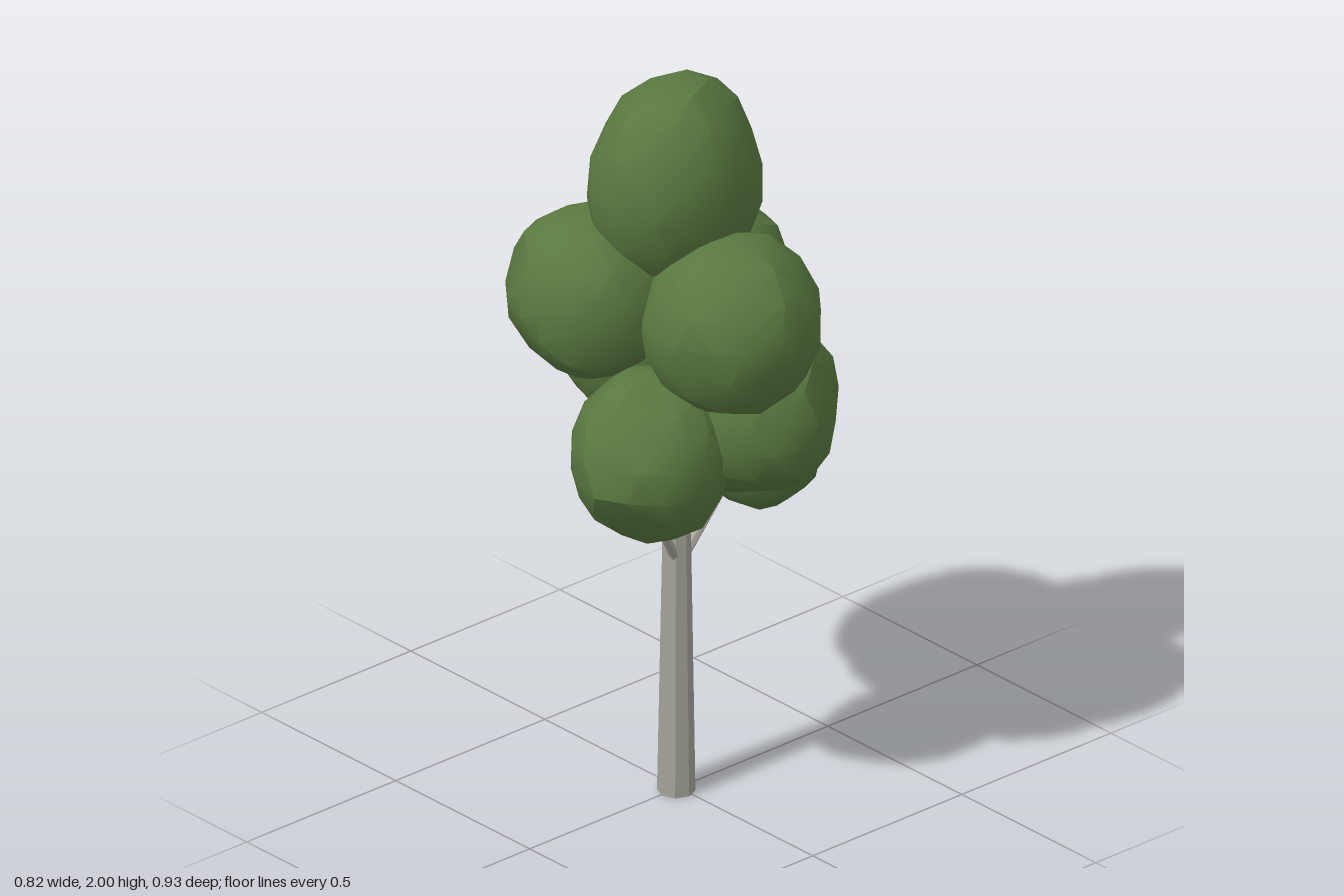
import * as THREE from 'three';
import { toCreasedNormals } from 'three/addons/utils/BufferGeometryUtils.js';

const leafGreen = new THREE.MeshStandardMaterial({ color: 0x5a7840 });
const barkGrey = new THREE.MeshStandardMaterial({ color: 0xa5a39a });
leafGreen.name = 'leafGreen';
barkGrey.name = 'barkGrey';

// Rounded leaf clump: a coarse ball with flat facets pressed into it
function clump(name, centre, radii, cuts, turn) {
  const geo = new THREE.IcosahedronGeometry(1, 2);
  geo.rotateX(turn).rotateY(turn * 1.7);
  const pos = geo.attributes.position;
  const p = new THREE.Vector3();
  const planes = cuts.map(([x, y, z, d]) => ({ n: new THREE.Vector3(x, y, z).normalize(), d }));
  for (let i = 0; i < pos.count; i++) {
    p.fromBufferAttribute(pos, i);
    // gentle unevenness, the same for coincident corners
    p.multiplyScalar(1 + 0.03 * Math.sin(p.x * 5 + turn * 9) * Math.cos(p.y * 4 + p.z * 5));
    for (const { n, d } of planes) {
      const over = p.dot(n) - d;
      if (over > 0) p.addScaledVector(n, -over);
    }
    pos.setXYZ(i, p.x, p.y, p.z);
  }
  geo.scale(...radii);
  const mesh = new THREE.Mesh(toCreasedNormals(geo, 0.5), leafGreen);
  mesh.name = name;
  mesh.position.set(...centre);
  return mesh;
}

// Tapered straight limb between two points
function limb(name, from, to, r0, r1, sides) {
  const a = new THREE.Vector3(...from), b = new THREE.Vector3(...to);
  const dir = b.clone().sub(a);
  const geo = new THREE.CylinderGeometry(r1, r0, dir.length(), sides);
  const mesh = new THREE.Mesh(toCreasedNormals(geo, 0.5), barkGrey);
  mesh.name = name;
  mesh.position.copy(a).add(b).multiplyScalar(0.5);
  mesh.quaternion.setFromUnitVectors(new THREE.Vector3(0, 1, 0), dir.normalize());
  return mesh;
}

export function createModel() {
  const tree = new THREE.Group();
  tree.name = 'tree';

  // Trunk and branches
  tree.add(limb('trunk', [-0.013, 0, 0.005], [-0.01, 1.3, 0.005], 0.048, 0.026, 8));
  const branches = [
    [[-0.02, 0.65, 0.015], [-0.19, 0.92, 0.08]],
    [[0, 0.65, 0.015], [0.17, 0.88, 0.04]],
    [[0, 0.82, -0.01], [0.08, 1.02, -0.16]],
    [[0, 0.84, 0.02], [0.04, 1.0, 0.13]],
  ];
  branches.forEach(([a, b]) => tree.add(limb('branch', a, b, 0.013, 0.009, 6)));

  // Crown: name, centre, radii, facets (direction and depth), turn
  const clumps = [
    ['topClump', [-0.02, 1.72, 0.015], [0.24, 0.28, 0.2],
      [[0.75, 0.3, 0.6, 0.9], [0.8, -0.1, -0.6, 0.88], [-0.2, 0.1, -1, 0.93]], 0.3],
    ['frontUpperClump', [-0.03, 1.405, 0.235], [0.23, 0.235, 0.23],
      [[0.8, -0.4, 0.4, 0.88], [-0.9, -0.2, 0.4, 0.93]], 0.9],
    ['frontLowerClump', [0.065, 1.135, 0.215], [0.22, 0.235, 0.22],
      [[0.6, 0.1, 0.8, 0.86], [-0.3, -0.8, 0.4, 0.92]], 1.4],
    ['rightLowerClump', [-0.2, 1.05, 0.12], [0.21, 0.235, 0.2],
      [[-0.6, -0.7, 0.4, 0.87], [-0.6, 0.7, 0.5, 0.88]], 2.1],
    ['leftLowerClump', [0.22, 0.99, 0.045], [0.19, 0.25, 0.2],
      [[0.75, -0.2, 0.65, 0.87], [0.7, 0.6, 0.3, 0.9], [0.5, -0.3, -0.8, 0.9]], 2.6],
    ['backRightClump', [-0.205, 1.425, -0.105], [0.21, 0.225, 0.225],
      [[-0.8, -0.5, -0.2, 0.92], [-0.8, 0.3, -0.6, 0.92]], 3.3],
    ['backLowerClump', [0.115, 1.2, -0.22], [0.26, 0.275, 0.245],
      [[0.9, -0.3, -0.2, 0.92], [0.8, 0.6, -0.1, 0.9], [0, -1, -0.2, 0.93]], 3.9],
    ['leftUpperClump', [0.2, 1.4, -0.06], [0.16, 0.165, 0.16],
      [[0.5, 0.8, 0.1, 0.85], [0.9, -0.2, -0.3, 0.93]], 4.5],
  ];
  clumps.forEach((c) => tree.add(clump(...c)));
  return tree;
}
